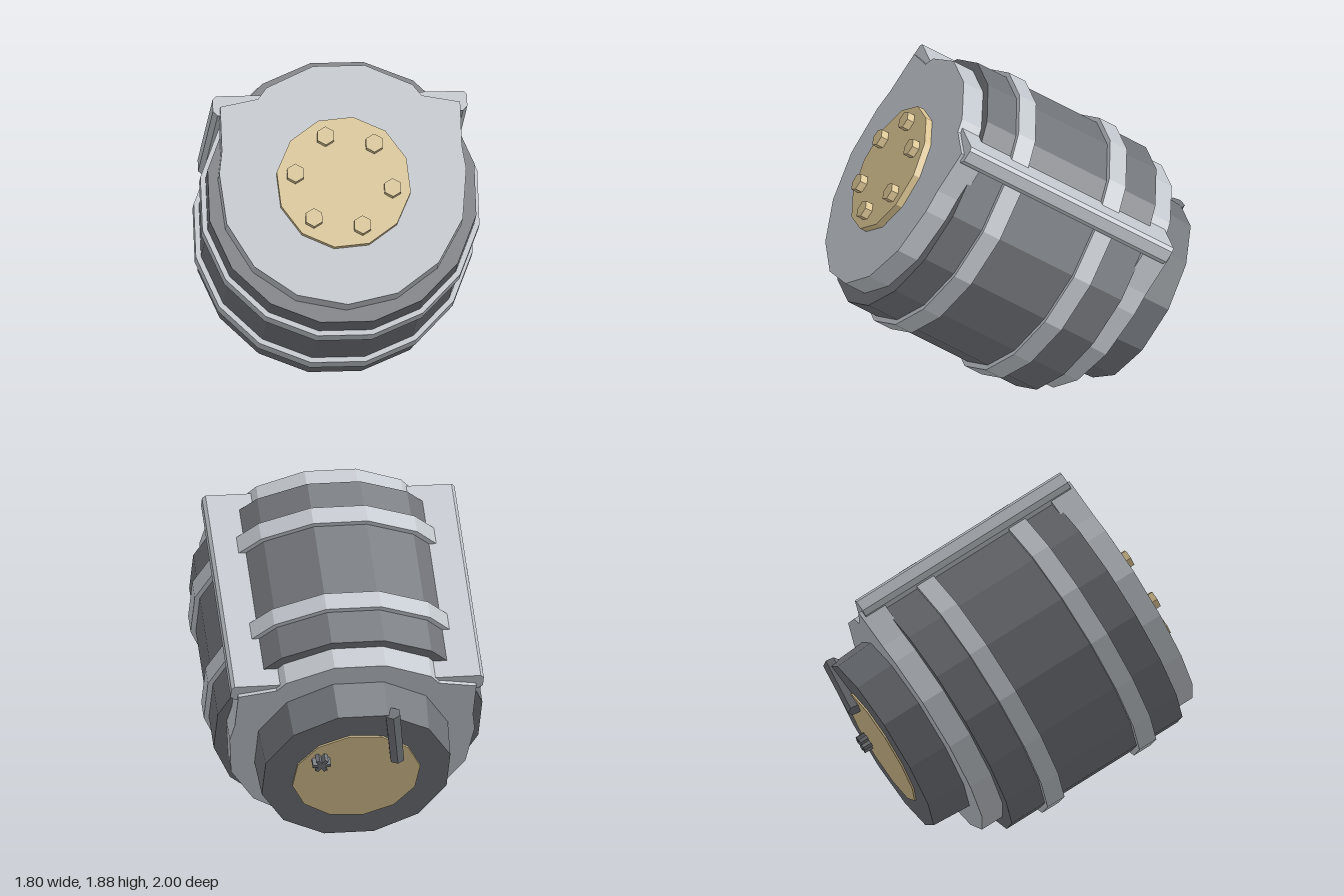
import * as THREE from 'three';

const paint = (name, color) => {
  const m = new THREE.MeshStandardMaterial({ color });
  m.name = name;
  return m;
};

export function createModel() {
  const steel = paint('light steel', 0xc0c5cb);
  const iron = paint('dark iron', 0x6f7277);
  const brass = paint('brass', 0xd8c291);

  // The motor is built along its own z axis, feet upward, then tilted
  const motor = new THREE.Group();
  motor.name = 'motor';

  const add = (name, geometry, material, parent = motor) => {
    const g = geometry.index ? geometry.toNonIndexed() : geometry;
    g.computeVertexNormals();
    const mesh = new THREE.Mesh(g, material);
    mesh.name = name;
    parent.add(mesh);
    return mesh;
  };

  // Faceted solid of revolution: profile of [radius, z], z ascending
  const drum = (name, profile, sides, turn, material) => {
    const pts = profile.map(([r, z]) => new THREE.Vector2(r, z));
    const g = new THREE.LatheGeometry(pts, sides, turn);
    g.rotateX(Math.PI / 2);
    return add(name, g, material);
  };

  // Flat outline pushed along z from z0 to z1
  const slab = (name, pts, z0, z1, material) => {
    const shape = new THREE.Shape(pts.map(([x, y]) => new THREE.Vector2(x, y)));
    const g = new THREE.ExtrudeGeometry(shape, { depth: z1 - z0, bevelEnabled: false });
    g.translate(0, 0, z0);
    return add(name, g, material);
  };

  // Barrel body with flat ends, sitting slightly low between the flanges
  const sag = -0.015;
  drum('body', [[0, -0.015], [0.748, -0.015], [0.748, 1.1], [0, 1.1]],
    16, Math.PI / 16, iron).position.y = sag;

  // Raised bands round the body
  for (const z of [0.2, 0.8]) {
    drum('band', [[0.7, z], [0.777, z], [0.777, z + 0.11], [0.7, z + 0.11]],
      16, Math.PI / 16, steel).position.y = sag;
  }

  // End flanges: a fifteen-sided disc with square shoulders
  const rim = (k) => {
    const a = THREE.MathUtils.degToRad(-90 + 24 * k);
    return [0.683 * Math.cos(a), 0.683 * Math.sin(a)];
  };
  const outline = [];
  for (let k = -4; k <= 4; k++) outline.push(rim(k));
  outline.push([0.66, 0.2], [0.66, 0.45], [0.45, 0.49]);
  for (let k = 6; k <= 9; k++) outline.push(rim(k));
  outline.push([-0.45, 0.49], [-0.66, 0.45], [-0.66, 0.2]);
  slab('frontFlange', outline, 1.08, 1.228, steel);
  slab('backFlange', outline, -0.15, -0.005, steel);

  // Mounting feet running the full length
  const foot = [[0.4, 0.515], [0.682, 0.515], [0.7, 0.495], [0.7, 0.43], [0.675, 0.405], [0.4, 0.405]];
  for (const s of [1, -1]) {
    slab(s > 0 ? 'leftFoot' : 'rightFoot', foot.map(([x, y]) => [s * x, y]), -0.13, 1.21, steel);
  }

  // Front cover plate with six hex bolts
  const plateTurn = THREE.MathUtils.degToRad(20);
  drum('frontPlate', [[0.372, 1.2], [0.372, 1.268], [0, 1.268]], 12, plateTurn, brass);
  for (let i = 0; i < 6; i++) {
    const a = THREE.MathUtils.degToRad(-10 + 60 * i);
    const g = new THREE.CylinderGeometry(0.052, 0.052, 0.06, 6);
    g.rotateX(Math.PI / 2);
    add('bolt', g, brass).position.set(0.27 * Math.cos(a), 0.27 * Math.sin(a), 1.281);
  }

  // Rear cap and its inset plate
  drum('rearCap', [[0, -0.375], [0.53, -0.375], [0.545, -0.13]], 12, Math.PI / 12, iron);
  drum('rearPlate', [[0, -0.385], [0.355, -0.385], [0.355, -0.36]], 12, plateTurn, brass);

  // Hex lever lying across the rear plate and past the cap's rim
  const from = new THREE.Vector3(-0.21, 0.17, -0.41);
  const to = new THREE.Vector3(-0.165, 0.51, -0.36);
  const dir = to.clone().sub(from);
  const lever = add('lever', new THREE.CylinderGeometry(0.046, 0.042, dir.length(), 6), iron);
  lever.position.copy(from).add(to).multiplyScalar(0.5);
  lever.quaternion.setFromUnitVectors(new THREE.Vector3(0, 1, 0), dir.normalize());

  // Small star knob on the rear plate
  const knob = new THREE.Group();
  knob.name = 'starKnob';
  for (let i = 0; i < 3; i++) {
    add('knobBlade', new THREE.BoxGeometry(0.1, 0.022, 0.06), iron, knob).rotation.z = i * Math.PI / 3;
  }
  knob.position.set(0.21, 0.165, -0.405);
  motor.add(knob);

  // Tilt the motor's front towards the upper front left
  motor.lookAt(1, 2, 3);
  motor.position.set(-0.115, 0.664, -0.404);

  const model = new THREE.Group();
  model.name = 'tiltedMotor';
  model.add(motor);
  return model;
}
